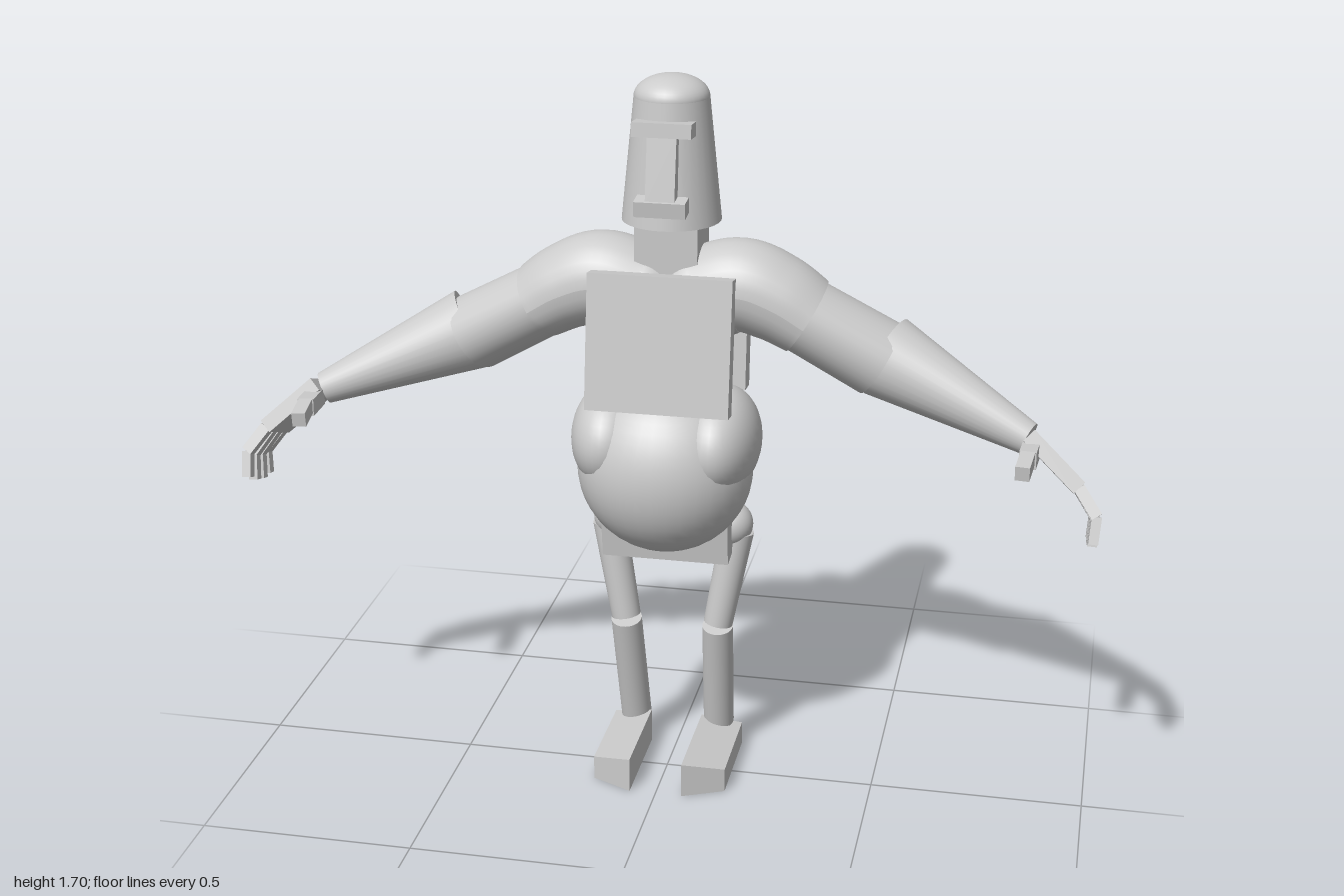
import * as THREE from 'three';

const grey = new THREE.MeshStandardMaterial({ color: 0xcccccc });
const V = (x, y, z) => new THREE.Vector3(x, y, z);
const UP = V(0, 1, 0), SIDE = V(1, 0, 0);

function add(parent, name, geometry) {
  const mesh = new THREE.Mesh(geometry, grey);
  mesh.name = name;
  parent.add(mesh);
  return mesh;
}

// Box running from a to b; "across" is the direction of its width
function beam(parent, name, a, b, width, thick, across = SIDE) {
  const axis = b.clone().sub(a);
  const mesh = add(parent, name, new THREE.BoxGeometry(width, axis.length(), thick));
  axis.normalize();
  const w = across.clone().addScaledVector(axis, -across.dot(axis)).normalize();
  mesh.quaternion.setFromRotationMatrix(new THREE.Matrix4().makeBasis(w, axis, w.clone().cross(axis)));
  mesh.position.copy(a).add(b).multiplyScalar(0.5);
  return mesh;
}

// Round limb from a (radius ra) to b (radius rb)
function limb(parent, name, a, b, ra, rb, depth = 1) {
  const axis = b.clone().sub(a);
  const mesh = add(parent, name, new THREE.CylinderGeometry(rb, ra, axis.length(), 32).scale(1, 1, depth));
  mesh.quaternion.setFromUnitVectors(UP, axis.normalize());
  mesh.position.copy(a).add(b).multiplyScalar(0.5);
  return mesh;
}

function ball(parent, name, p, rx, ry = rx, rz = rx) {
  const mesh = add(parent, name, new THREE.SphereGeometry(1, 36, 24).scale(rx, ry, rz));
  mesh.position.copy(p);
  return mesh;
}

function makeHead() {
  const head = new THREE.Group();
  head.name = 'head';
  limb(head, 'skull', V(0, 1.37, -0.05), V(0, 1.65, -0.05), 0.113, 0.085);
  const dome = add(head, 'skullCap',
    new THREE.SphereGeometry(0.085, 32, 12, 0, Math.PI * 2, 0, Math.PI / 2).scale(1, 0.58, 1));
  dome.position.set(0, 1.65, -0.05);
  beam(head, 'brow', V(0, 1.58, 0.045), V(0, 1.612, 0.042), 0.134, 0.055);
  beam(head, 'nose', V(0, 1.435, 0.063), V(0, 1.585, 0.037), 0.066, 0.05);
  beam(head, 'mouth', V(0, 1.41, 0.068), V(0, 1.445, 0.072), 0.116, 0.045);
  beam(head, 'neck', V(0, 1.2, -0.05), V(0, 1.38, -0.05), 0.144, 0.14);
  return head;
}

function makeTorso() {
  const torso = new THREE.Group();
  torso.name = 'torso';
  beam(torso, 'chest', V(0, 0.96, 0.112), V(0, 1.27, 0.068), 0.33, 0.045);
  ball(torso, 'belly', V(0, 0.8, 0.025), 0.205, 0.205, 0.175);
  // Spine, flanking back plates and pelvis
  beam(torso, 'upperSpine', V(0, 1.2, -0.162), V(0, 1.4, -0.1), 0.12, 0.06);
  beam(torso, 'middleSpine', V(0, 0.93, -0.135), V(0, 1.22, -0.17), 0.12, 0.06);
  beam(torso, 'lumbarSpine', V(0, 0.75, -0.095), V(0, 0.97, -0.115), 0.13, 0.06);
  beam(torso, 'pelvis', V(0, 0.572, -0.055), V(0, 0.79, -0.025), 0.3, 0.167);
  beam(torso, 'tailPlate', V(0, 0.557, -0.172), V(0, 0.782, -0.133), 0.12, 0.052);
  for (const s of [1, -1]) {
    beam(torso, 'backPlate', V(s * 0.11, 0.95, -0.122), V(s * 0.11, 1.28, -0.153), 0.11, 0.055);
    ball(torso, 'sideMuscle', V(s * 0.125, 0.865, 0.005), 0.095, 0.125, 0.16);
  }
  return torso;
}

function makeHand(s) {
  const hand = new THREE.Group();
  hand.name = 'hand';
  const across = V(s * 0.07, 0.34, 0.94);
  const wrist = V(s * 0.825, 0.933, 0.013), knuckles = V(s * 0.942, 0.83, 0.045);
  beam(hand, 'palm', wrist, knuckles, 0.118, 0.035, across);
  for (let i = -1.5; i <= 1.5; i++) {
    const long = 1.08 - 0.08 * Math.abs(i);
    const root = knuckles.clone().addScaledVector(across, i * 0.03);
    const joint = root.clone().add(V(s * 0.042, -0.058 * long, 0.018 + i * 0.004));
    const tip = joint.clone().add(V(-s * 0.004, -0.06 * long, 0.014 + i * 0.004));
    beam(hand, 'fingerBase', root, joint, 0.024, 0.026, across);
    beam(hand, 'fingerTip', joint, tip, 0.021, 0.022, across);
  }
  beam(hand, 'thumbBase', V(s * 0.835, 0.915, 0.04), V(s * 0.83, 0.918, 0.13), 0.038, 0.04);
  beam(hand, 'thumbTip', V(s * 0.83, 0.922, 0.125), V(s * 0.823, 0.912, 0.197), 0.032, 0.034);
  return hand;
}

function makeArm(s) {
  const arm = new THREE.Group();
  arm.name = s > 0 ? 'leftArm' : 'rightArm';
  // Shoulder: a bent tube that slims towards the upper arm
  const path = new THREE.CatmullRomCurve3([
    V(s * 0.07, 1.195, -0.05), V(s * 0.16, 1.222, -0.052), V(s * 0.24, 1.197, -0.056), V(s * 0.31, 1.155, -0.062),
  ]);
  const tube = new THREE.TubeGeometry(path, 24, 0.11, 32);
  const pos = tube.attributes.position, uv = tube.attributes.uv;
  for (let i = 0; i < pos.count; i++) {
    const u = uv.getX(i), c = path.getPointAt(u), k = 1 - 0.18 * u * u;
    pos.setXY(i, c.x + (pos.getX(i) - c.x) * k, c.y + (pos.getY(i) - c.y) * k);
  }
  tube.computeVertexNormals();
  add(arm, 'shoulder', tube);
  ball(arm, 'shoulderEnd', V(s * 0.07, 1.195, -0.05), 0.11);
  limb(arm, 'upperArm', V(s * 0.29, 1.165, -0.06), V(s * 0.477, 1.058, -0.083), 0.087, 0.091, 1.14);
  limb(arm, 'forearm', V(s * 0.49, 1.062, -0.085), V(s * 0.825, 0.925, 0.013), 0.097, 0.038);
  arm.add(makeHand(s));
  return arm;
}

function makeLeg(s) {
  const leg = new THREE.Group();
  leg.name = s > 0 ? 'leftLeg' : 'rightLeg';
  ball(leg, 'hip', V(s * 0.137, 0.625, -0.07), 0.055);
  limb(leg, 'thigh', V(s * 0.155, 0.61, -0.07), V(s * 0.113, 0.37, -0.056), 0.04, 0.035);
  limb(leg, 'shin', V(s * 0.112, 0.362, -0.055), V(s * 0.104, 0.07, -0.128), 0.037, 0.037);
  // Foot: outer edge lower and shorter than the inner edge
  const foot = new THREE.BoxGeometry(1, 1, 1);
  const p = foot.attributes.position;
  for (let i = 0; i < p.count; i++) {
    const outer = p.getX(i) * s > 0;
    p.setXYZ(i, s * (outer ? 0.16 : 0.063),
      p.getY(i) > 0 ? (outer ? 0.058 : 0.084) : 0,
      p.getZ(i) > 0 ? (outer ? 0.1 : 0.145) : (outer ? -0.142 : -0.115));
  }
  const flat = foot.toNonIndexed();
  flat.computeVertexNormals();
  add(leg, 'foot', flat);
  return leg;
}

export function createModel() {
  const model = new THREE.Group();
  model.name = 'figure';
  model.add(makeHead(), makeTorso());
  for (const s of [1, -1]) model.add(makeArm(s), makeLeg(s));
  return model;
}
